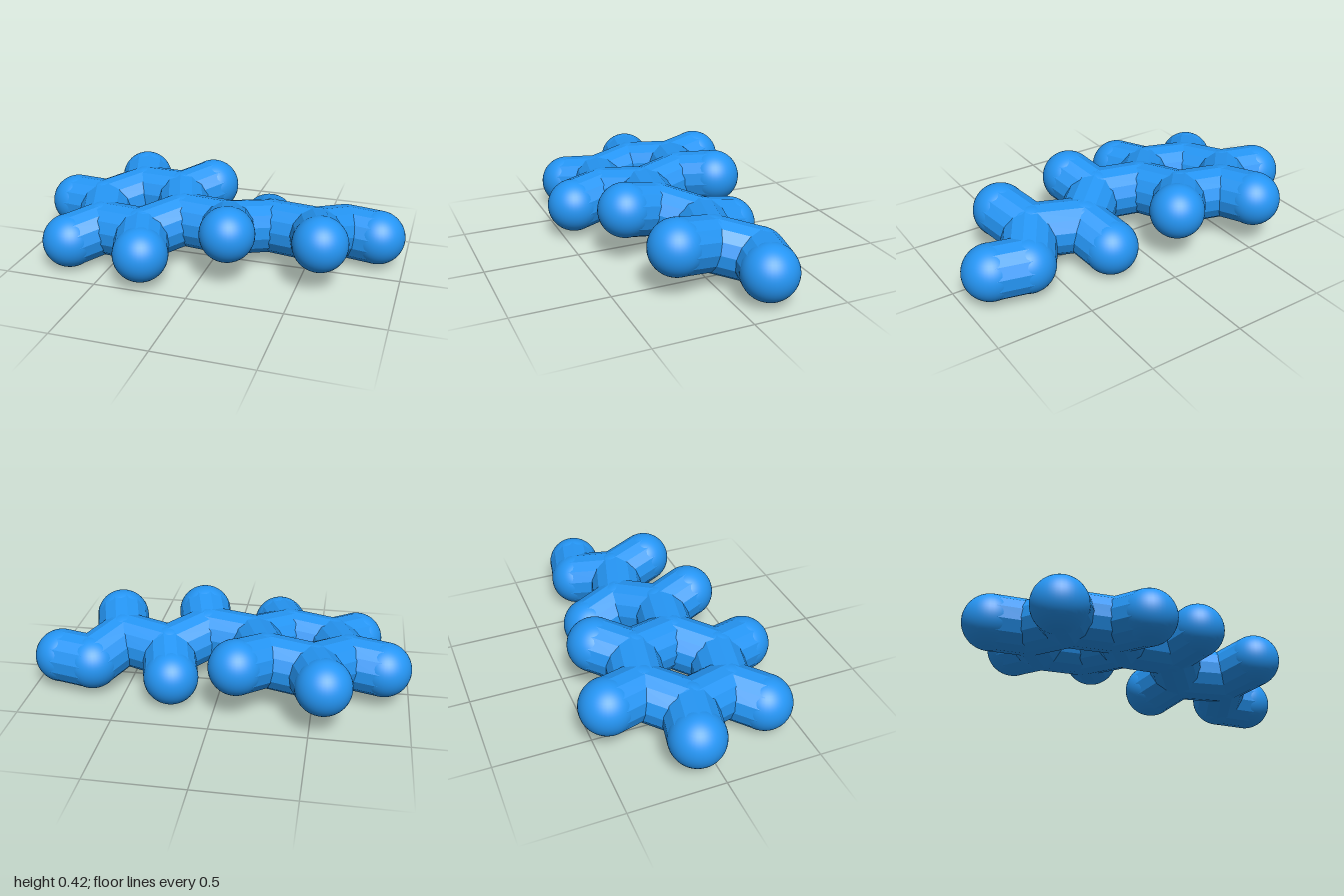
import * as THREE from 'three';

const RADIUS = 0.143;

// Atom centres: a tilted six-sided ring, a zigzag chain, and the capped ends
const atoms = {
  ringTips: [
    [-0.56, 0.255, -0.43], [-0.12, 0.28, -0.345], [0.032, 0.235, 0.1],
    [-0.265, 0.175, 0.43], [-0.705, 0.15, 0.335], [-0.855, 0.195, -0.095],
  ],
  chain: [[0.1, 0.235, 0.105], [0.285, 0.195, -0.07], [0.55, 0.212, 0.005], [0.675, 0.163, -0.195], [0.855, 0.165, -0.155]],
  chainTips: [[0.15, 0.28, 0.287], [0.235, 0.144, -0.26], [0.61, 0.255, 0.208]],
};

export function createModel() {
  const group = new THREE.Group();
  group.name = 'stickMolecule';
  const smooth = new THREE.MeshStandardMaterial({ color: 0x2596f5 });
  const faceted = new THREE.MeshStandardMaterial({ color: 0x2596f5, flatShading: true });
  const ball = new THREE.SphereGeometry(RADIUS, 40, 28);
  const up = new THREE.Vector3(0, 1, 0);
  const vec = (p) => new THREE.Vector3(...p);

  function addAtom(p, name) {
    const mesh = new THREE.Mesh(ball, smooth);
    mesh.position.copy(p);
    mesh.name = name;
    group.add(mesh);
  }

  function addBond(a, b, name) {
    const dir = b.clone().sub(a);
    const mesh = new THREE.Mesh(new THREE.CylinderGeometry(RADIUS, RADIUS, dir.length(), 14, 1, true), faceted);
    mesh.position.copy(a).lerp(b, 0.5);
    mesh.quaternion.setFromUnitVectors(up, dir.normalize());
    mesh.name = name;
    group.add(mesh);
  }

  // Ring atoms lie part of the way from the ring centre to each tip
  const centre = new THREE.Vector3(-0.412, 0.215, -0.003);
  const tips = atoms.ringTips.map(vec);
  const ring = tips.map((t) => centre.clone().lerp(t, 0.56));
  ring.forEach((p, i) => {
    addAtom(p, 'ringAtom');
    addBond(p, ring[(i + 1) % 6], 'ringBond');
    if (i === 2) return; // this corner carries the chain
    addAtom(tips[i], 'ringTip');
    addBond(p, tips[i], 'ringTipBond');
  });

  // Side chain and its branches
  const chain = atoms.chain.map(vec);
  chain.forEach((p, i) => {
    addAtom(p, 'chainAtom');
    addBond(i ? chain[i - 1] : ring[2], p, 'chainBond');
  });
  atoms.chainTips.map(vec).forEach((t, i) => {
    addAtom(t, 'chainTip');
    addBond(chain[i], t, 'chainTipBond');
  });

  return group;
}
